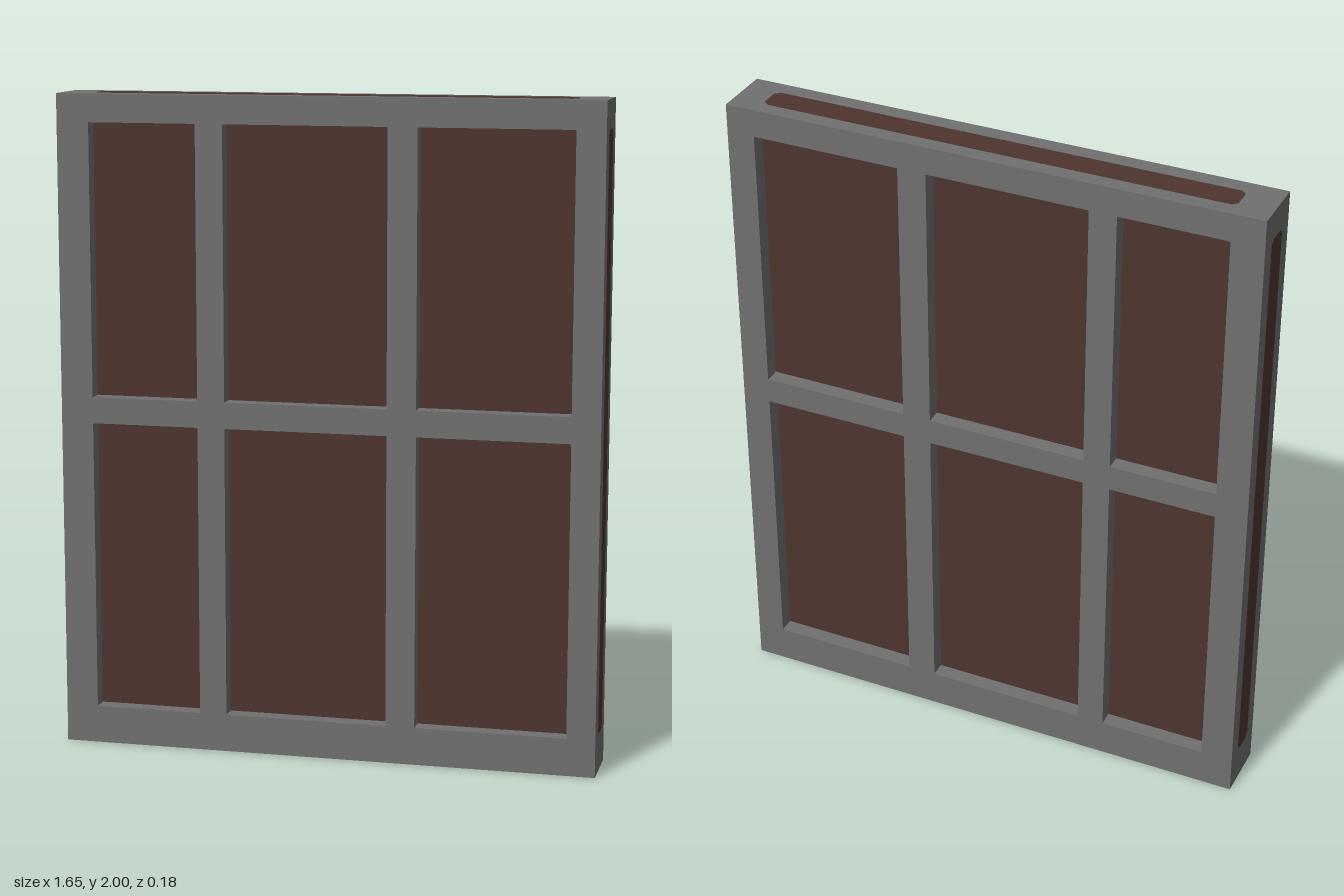
import * as THREE from 'three';

const W = 1.648, H = 2, D = 0.184;
const columns = [[-0.725, -0.395], [-0.311, 0.187], [0.276, 0.737]];
const rows = [[0.115, 1.005], [1.085, 1.915]];

// Traces a closed rectangle with cut corners
function outline(path, x0, x1, y0, y1, c = 0) {
  const pts = c
    ? [[x0 + c, y0], [x1 - c, y0], [x1, y0 + c], [x1, y1 - c], [x1 - c, y1], [x0 + c, y1], [x0, y1 - c], [x0, y0 + c]]
    : [[x0, y0], [x1, y0], [x1, y1], [x0, y1]];
  return path.setFromPoints(pts.map(([x, y]) => new THREE.Vector2(x, y)));
}

export function createModel() {
  const group = new THREE.Group();
  const frameGrey = new THREE.MeshStandardMaterial({ color: 0x707070 });
  frameGrey.name = 'frame grey';
  const panelBrown = new THREE.MeshStandardMaterial({ color: 0x4e342e });
  panelBrown.name = 'panel brown';

  const add = (name, geometry, material) => {
    const mesh = new THREE.Mesh(geometry, material);
    mesh.name = name;
    group.add(mesh);
    return mesh;
  };

  // Outer frame and bars in one piece, with six openings
  const shape = outline(new THREE.Shape(), -W / 2, W / 2, 0, H);
  for (const [x0, x1] of columns) {
    for (const [y0, y1] of rows) shape.holes.push(outline(new THREE.Path(), x0, x1, y0, y1));
  }
  const frame = new THREE.ExtrudeGeometry(shape, { depth: D, bevelEnabled: false });
  frame.translate(0, 0, -D / 2);
  add('frame', frame, frameGrey);

  // Recessed panel that fills the openings from both sides
  const panel = new THREE.BoxGeometry(1.5, 1.84, 0.086);
  add('panel', panel, panelBrown).position.set(0.006, 1.015, 0);

  // Thin inlaid strips along the four outer edges
  const strip = (a, b) => new THREE.ExtrudeGeometry(
    outline(new THREE.Shape(), a, b, -0.041, 0.041, 0.014),
    { depth: 0.002, bevelEnabled: false },
  );
  const top = add('topStrip', strip(-0.72, 0.73), panelBrown);
  top.rotation.x = -Math.PI / 2;
  top.position.set(0, H - 0.001, -0.002);
  const bottom = add('bottomStrip', strip(-0.72, 0.73), panelBrown);
  bottom.rotation.x = Math.PI / 2;
  bottom.position.set(0, 0.001, -0.002);
  for (const [name, side] of [['leftStrip', 1], ['rightStrip', -1]]) {
    const geometry = strip(0.118, 1.913);
    geometry.rotateZ(Math.PI / 2);
    geometry.rotateY(side * Math.PI / 2);
    add(name, geometry, panelBrown).position.x = side * (W / 2 - 0.001);
  }
  return group;
}
